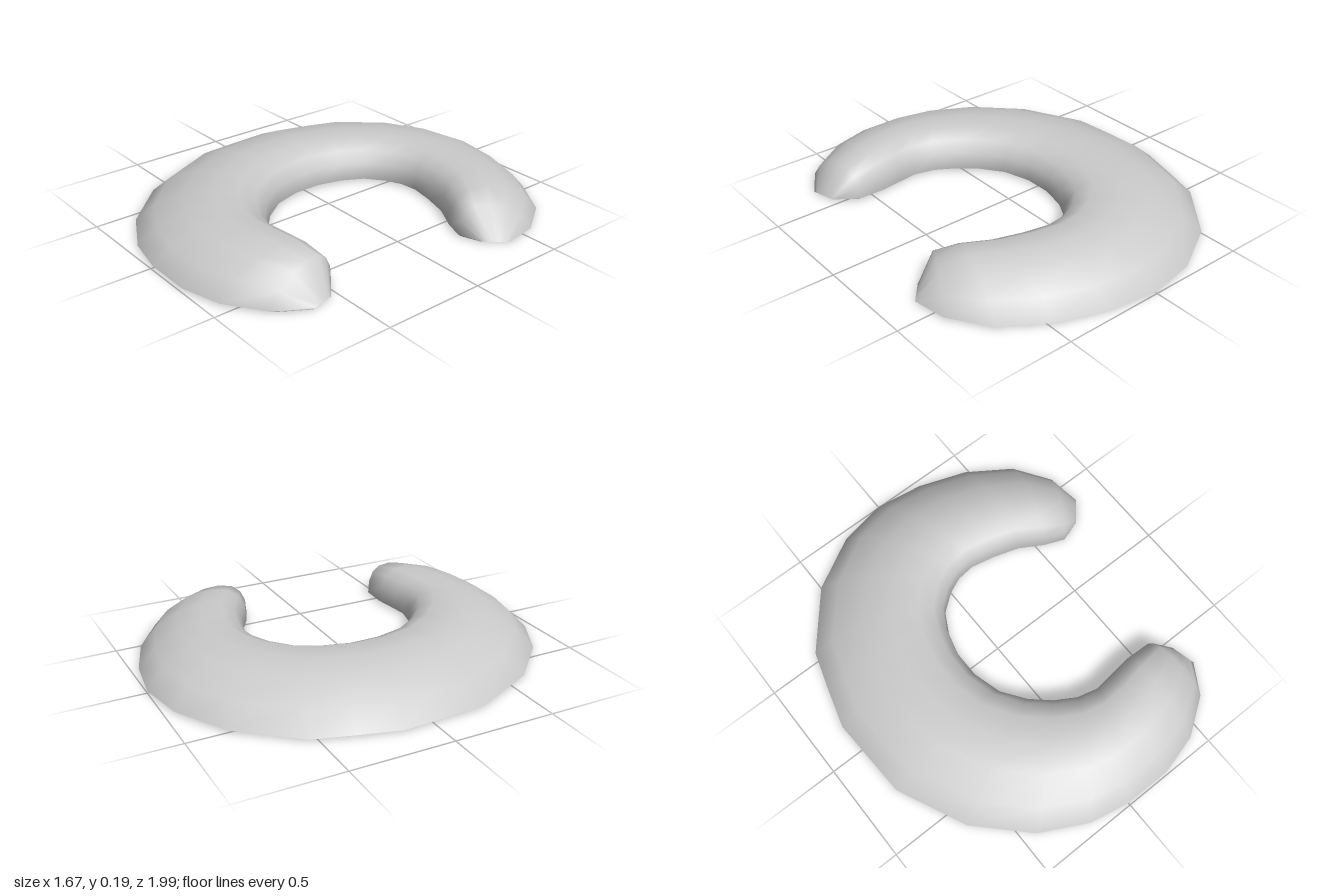
import * as THREE from 'three';

// Stations along the curve, back tip to front tip: [outer x, outer z, inner x, inner z]
const stations = [
  [0.835, -0.39, 0.75, -0.29], [0.81, -0.56, 0.64, -0.25], [0.69, -0.74, 0.54, -0.29],
  [0.48, -0.88, 0.42, -0.36], [0.24, -0.965, 0.29, -0.40], [0, -1, 0.17, -0.425],
  [-0.24, -0.955, 0.08, -0.415], [-0.5, -0.81, 0, -0.38], [-0.725, -0.54, -0.09, -0.31],
  [-0.785, -0.345, -0.145, -0.21], [-0.84, -0.15, -0.18, -0.08], [-0.83, 0.055, -0.18, 0.06],
  [-0.82, 0.26, -0.14, 0.2], [-0.66, 0.6, -0.06, 0.31], [-0.43, 0.83, 0.03, 0.39],
  [-0.2, 0.95, 0.13, 0.45], [0, 0.99, 0.23, 0.475], [0.24, 0.99, 0.32, 0.465],
  [0.44, 0.935, 0.44, 0.45], [0.62, 0.81, 0.575, 0.455], [0.71, 0.66, 0.68, 0.54],
];

// Closed section: [fraction from inner to outer edge, height]
const section = [
  [0, 0.01], [0.015, 0.09], [0.08, 0.15], [0.2, 0.185], [0.4, 0.19],
  [0.62, 0.165], [0.85, 0.095], [1, 0.01], [0.95, 0], [0.5, 0], [0.04, 0],
];

function sweepGeometry() {
  const positions = [], index = [];
  const m = section.length, last = stations.length - 1;
  stations.forEach(([ox, oz, ix, iz], i) => {
    // Heights fall to nothing at both rounded tips
    const scale = [0, 0.82, 0.97][Math.min(i, last - i)] ?? 1;
    for (const [t, y] of section) {
      positions.push(ix + (ox - ix) * t, scale ? Math.min(y, 0.01) + Math.max(y - 0.01, 0) * scale : 0.005, iz + (oz - iz) * t);
    }
    if (i === last) return;
    for (let j = 0; j < m; j++) {
      const a = i * m + j, b = i * m + (j + 1) % m;
      index.push(a, b, a + m, b, b + m, a + m);
    }
  });
  const geometry = new THREE.BufferGeometry();
  geometry.setAttribute('position', new THREE.Float32BufferAttribute(positions, 3));
  geometry.setIndex(index);
  geometry.computeVertexNormals();
  return geometry;
}

export function createModel() {
  const group = new THREE.Group();
  group.name = 'crescent';
  const body = new THREE.Mesh(sweepGeometry(), new THREE.MeshStandardMaterial({ color: 0xcccccc }));
  body.name = 'crescentBody';
  group.add(body);
  return group;
}
